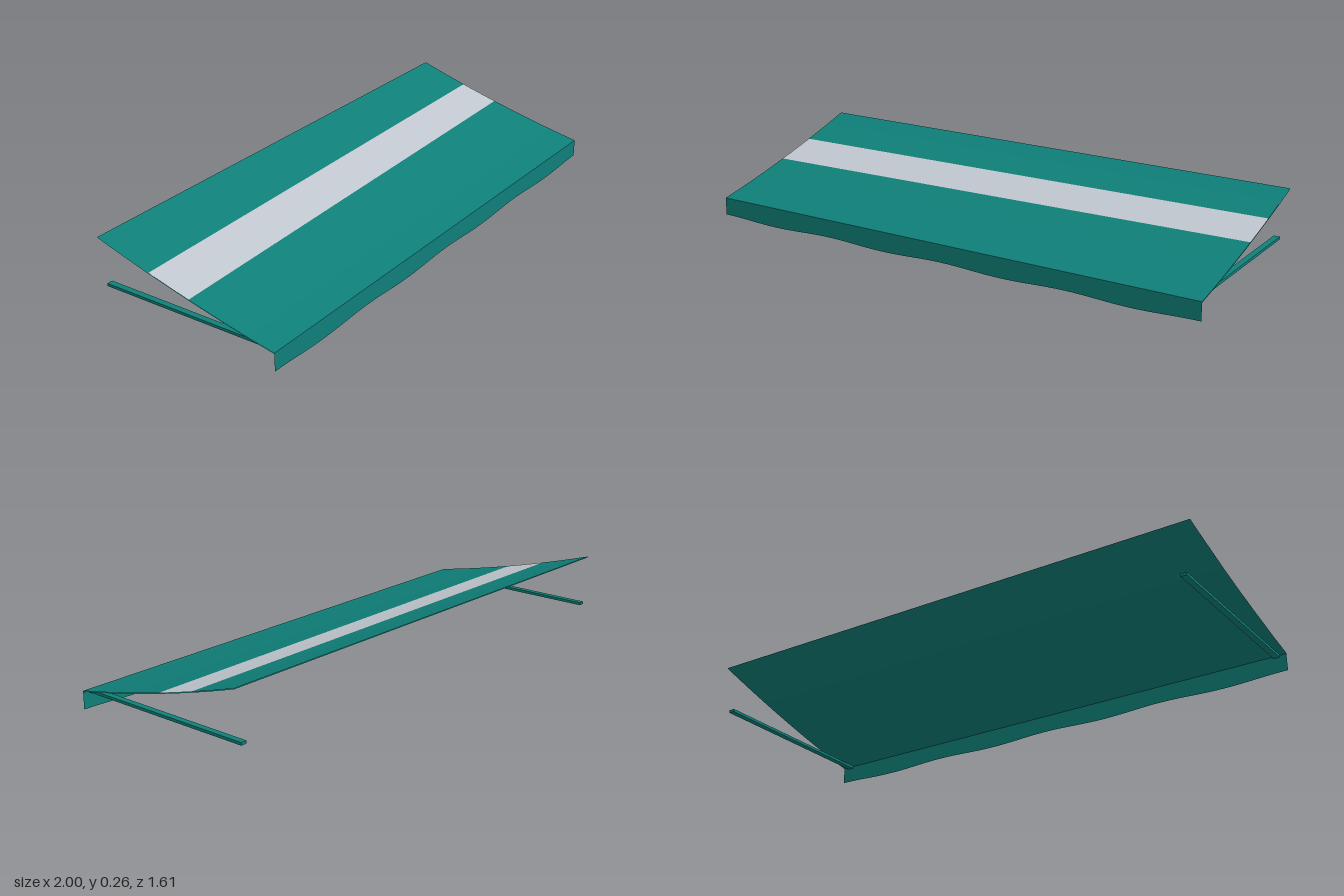
import * as THREE from 'three';

const HALF_L = 0.958, HALF_W = 0.35, BACK_Y = 0.255, FRONT_Y = 0.079;

const teal = new THREE.MeshStandardMaterial({ color: 0x0f7f78, side: THREE.DoubleSide });
teal.name = 'teal canvas';
const grey = new THREE.MeshStandardMaterial({ color: 0xc1c7cf, side: THREE.DoubleSide });
grey.name = 'pale grey stripe';

// Grid surface from a rule: u runs along x, v runs forward or down
function sheet(name, rule, nu, nv, material) {
  const pos = [], index = [];
  for (let i = 0; i <= nu; i++)
    for (let j = 0; j <= nv; j++) pos.push(...rule(i / nu, j / nv));
  for (let i = 0; i < nu; i++)
    for (let j = 0; j < nv; j++) {
      const a = i * (nv + 1) + j, c = a + nv + 1;
      index.push(a, a + 1, c, c, a + 1, c + 1);
    }
  const geo = new THREE.BufferGeometry();
  geo.setAttribute('position', new THREE.Float32BufferAttribute(pos, 3));
  geo.setIndex(index);
  geo.computeVertexNormals();
  const mesh = new THREE.Mesh(geo, material);
  mesh.name = name;
  return mesh;
}

// Gently sagging cloth, t = 0 at the wall and 1 at the front bar
const cloth = (u, t, drop = 0) => [
  (u * 2 - 1) * HALF_L,
  BACK_Y + (FRONT_Y - BACK_Y) * t - 0.044 * t * (1 - t) - drop,
  (t * 2 - 1) * HALF_W,
];

export function createModel() {
  const model = new THREE.Group();
  model.name = 'awning';
  const awning = new THREE.Group();
  awning.name = 'awningFrame';
  model.add(awning);

  // Canopy bands; the stripe drifts slightly along the length
  const stripeTop = (u) => 0.3 - 0.035 * u;
  const stripeLow = (u) => 0.53 - 0.055 * u;
  const band = (name, from, to, material) => awning.add(sheet(name,
    (u, v) => cloth(u, from(u) + (to(u) - from(u)) * v), 8, 8, material));
  band('canopyBack', () => 0, stripeTop, teal);
  band('canopyStripe', stripeTop, stripeLow, grey);
  band('canopyFront', stripeLow, () => 1, teal);

  // Plain lining below the canopy
  awning.add(sheet('canopyLining', (u, v) => cloth(u, v, 0.003), 8, 20, teal));

  // Hanging valance with a wavy hem
  awning.add(sheet('valance', (u, v) => {
    const hem = 0.0105 + 0.004 * Math.cos(u * 8 * Math.PI);
    return [(u * 2 - 1) * HALF_L, FRONT_Y + (hem - FRONT_Y) * v, HALF_W];
  }, 64, 1, teal));

  // Support arms back to the wall
  for (const side of [-1, 1]) {
    const arm = new THREE.Mesh(new THREE.BoxGeometry(0.022, 0.01, HALF_W * 2 - 0.004), teal);
    arm.name = side > 0 ? 'leftArm' : 'rightArm';
    arm.position.set(side * 0.923, 0.073, 0);
    awning.add(arm);
  }

  // Slight lean along the length, then the turn in plan
  awning.rotation.set(0, 0.557, -0.0047, 'YXZ');
  return model;
}
